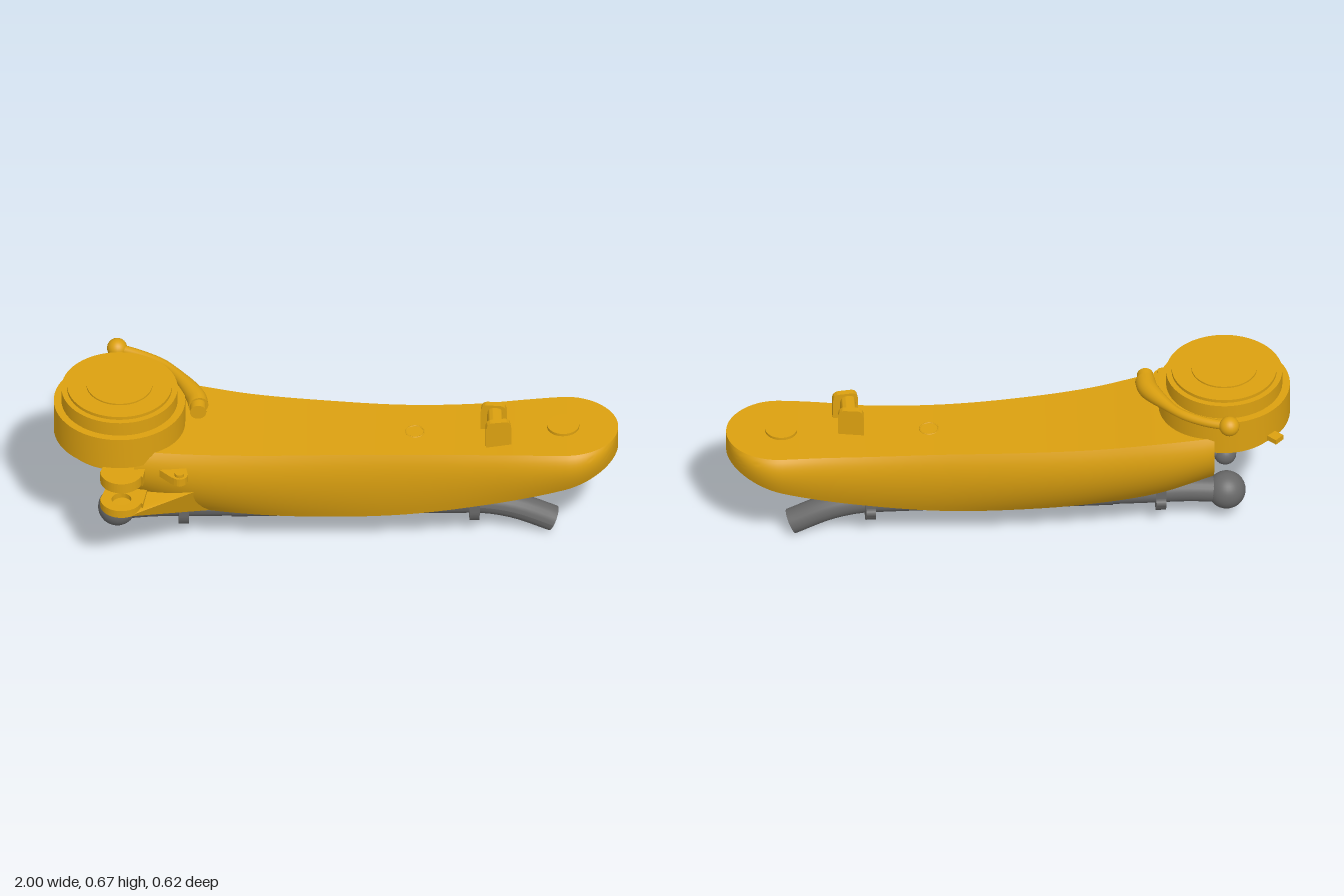
import * as THREE from 'three';
import { toCreasedNormals } from 'three/addons/utils/BufferGeometryUtils.js';
import { ConvexGeometry } from 'three/addons/geometries/ConvexGeometry.js';

const gold = new THREE.MeshStandardMaterial({ color: 0xdba010 });
const grey = new THREE.MeshStandardMaterial({ color: 0x686868 });
const V = (x, y, z) => new THREE.Vector3(x, y, z);

export function createModel() {
  const model = new THREE.Group();
  const add = (name, geo, mat = gold, x = 0, y = 0, z = 0) => {
    const m = new THREE.Mesh(geo, mat);
    m.name = name;
    m.position.set(x, y, z);
    model.add(m);
    return m;
  };
  // Tube along points with a radius that varies from 0 to 1 along its length, closed at both ends
  const taperTube = (name, pts, radius, mat) => {
    const path = new THREE.CatmullRomCurve3(pts), seg = 40, rad = 20;
    const geo = new THREE.TubeGeometry(path, seg, 1, rad);
    const p = geo.attributes.position, v = V(0, 0, 0);
    for (let i = 0; i <= seg; i++) {
      const c = path.getPointAt(i / seg), r = radius(i / seg);
      for (let j = 0; j <= rad; j++) {
        const k = i * (rad + 1) + j;
        v.fromBufferAttribute(p, k).sub(c).multiplyScalar(r).add(c);
        p.setXYZ(k, v.x, v.y, v.z);
      }
    }
    geo.computeVertexNormals();
    add(name, geo, mat);
    for (const t of [0, 1]) {
      const cap = add(name + 'End', new THREE.CircleGeometry(radius(t), rad), mat);
      const c = path.getPointAt(t);
      cap.position.copy(c);
      cap.lookAt(c.clone().addScaledVector(path.getTangentAt(t), t ? 1 : -1));
    }
  };
  // Flat outline in x and z, raised from y0 to y1
  const plate = (name, shape, y0, y1) => {
    const geo = new THREE.ExtrudeGeometry(shape, { depth: y1 - y0, bevelEnabled: false, curveSegments: 20 });
    geo.rotateX(Math.PI / 2);
    add(name, toCreasedNormals(geo, 0.6), gold, 0, y1, 0);
  };

  // Arm body: lofted sections with a flat top, bulging sides and a flat curved belly
  // Each key: x, top y, bottom y, front half width, back half width, belly half width
  const keys = [
    [-0.72, 0.525, 0.275, 0.225, 0.245, 0.11], [-0.55, 0.505, 0.212, 0.22, 0.24, 0.115],
    [-0.3, 0.47, 0.173, 0.185, 0.215, 0.12], [0, 0.45, 0.157, 0.158, 0.19, 0.12],
    [0.25, 0.442, 0.168, 0.15, 0.172, 0.125], [0.5, 0.443, 0.212, 0.16, 0.172, 0.14],
    [0.68, 0.452, 0.262, 0.18, 0.182, 0.16], [0.81, 0.456, 0.305, 0.19, 0.19, 0.172],
    [1, 0.455, 0.378, 0.19, 0.19, 0.178]];
  const lerp = new THREE.CubicInterpolant(keys.map(k => k[0]), keys.flatMap(k => k.slice(1)), 5);
  const xs = [];
  for (let i = 0; i <= 44; i++) xs.push(-0.72 + 1.53 * i / 44);
  for (let i = 1; i <= 16; i++) xs.push(0.81 + 0.19 * Math.sin(i / 16 * Math.PI / 2));
  const S = 12, N = 2 * (S + 1), pos = [], idx = [];
  for (const x of xs) {
    const [top, bot, wf, wb, belly] = lerp.evaluate(x);
    const e = x > 0.81 ? Math.sqrt(Math.max(0.0001, 1 - ((x - 0.81) / 0.19) ** 2)) : 1;
    const h = top - bot;
    const side = w => new THREE.CubicBezierCurve(
      new THREE.Vector2(0.9 * w, top), new THREE.Vector2(1.09 * w, top - 0.25 * h),
      new THREE.Vector2(1.02 * w, top - 0.65 * h), new THREE.Vector2(belly, bot)).getPoints(S);
    side(wf).forEach(p => pos.push(x, p.y, p.x * e));
    side(wb).reverse().forEach(p => pos.push(x, p.y, -p.x * e));
  }
  for (let i = 0; i < xs.length - 1; i++) for (let j = 0; j < N; j++) {
    const a = i * N + j, b = i * N + (j + 1) % N;
    idx.push(a, b, a + N, b, b + N, a + N);
  }
  for (let j = 1; j < N - 1; j++) idx.push(0, j + 1, j);
  const body = new THREE.BufferGeometry();
  body.setAttribute('position', new THREE.Float32BufferAttribute(pos, 3));
  body.setIndex(idx);
  add('armBody', toCreasedNormals(body, 0.6));

  // Round clamp head with stepped cap
  const profile = [[0, 0.44], [0.2, 0.44], [0.2, 0.475], [0.233, 0.475], [0.233, 0.6], [0.206, 0.6],
    [0.206, 0.655], [0.186, 0.655], [0.186, 0.667], [0.117, 0.667], [0.117, 0.673], [0, 0.673]];
  add('clampHead', toCreasedNormals(new THREE.LatheGeometry(
    profile.map(p => new THREE.Vector2(...p)), 64), 0.6), gold, -0.767, 0, 0.002);
  const tab = add('headTab', new THREE.BoxGeometry(0.09, 0.02, 0.04), gold, -0.92, 0.49, -0.165);
  tab.rotation.y = -0.75;

  // Locking lever swept around the head
  taperTube('lockLever', [V(-0.488, 0.595, 0.035), V(-0.495, 0.597, -0.01), V(-0.535, 0.605, -0.09),
    V(-0.6, 0.612, -0.18), V(-0.68, 0.615, -0.235), V(-0.765, 0.62, -0.272)],
    t => 0.036 - 0.019 * THREE.MathUtils.smoothstep(t, 0.05, 0.55), gold);
  add('leverKnob', new THREE.SphereGeometry(0.036, 24, 16), gold, -0.77, 0.62, -0.274);
  const pivot = new THREE.CylinderGeometry(0.029, 0.029, 0.06, 24).rotateX(Math.PI / 2);
  add('leverPivot', pivot, gold, -0.49, 0.595, 0.042);

  // Pair of clamp lugs on the front, the lower one bored and carried by a gusset
  const lug = hole => {
    const s = new THREE.Shape();
    s.moveTo(-0.66, 0.12);
    s.lineTo(-0.69, 0.27);
    s.absarc(-0.765, 0.235, 0.075, 0.4, Math.PI, false);
    s.lineTo(-0.8, 0.12);
    if (hole) s.holes.push(new THREE.Path().absarc(-0.765, 0.24, 0.035, 0, Math.PI * 2, true));
    return s;
  };
  plate('upperLug', lug(false), 0.42, 0.46);
  plate('lowerLug', lug(true), 0.31, 0.34);
  const hull = [V(-0.72, 0.33, 0.05), V(-0.72, 0.275, 0.05), V(-0.45, 0.19, 0.115), V(-0.5, 0.34, 0.2),
    V(-0.58, 0.21, 0.115)];
  for (let i = 0; i <= 10; i++) {
    const a = i / 10 * Math.PI;
    hull.push(V(-0.765 + 0.075 * Math.cos(a), 0.312, 0.235 + 0.073 * Math.sin(a)));
  }
  add('lugGusset', toCreasedNormals(new ConvexGeometry(hull), 0.5));

  // Small catch beside the lugs
  const latch = new THREE.Shape();
  latch.moveTo(-0.66, 0.19);
  latch.lineTo(-0.59, 0.265);
  latch.absarc(-0.56, 0.25, 0.03, 2.4, 0, true);
  latch.lineTo(-0.54, 0.18);
  plate('catch', latch, 0.425, 0.455);
  add('catchBoss', new THREE.CylinderGeometry(0.017, 0.017, 0.05, 16), gold, -0.56, 0.442, 0.255);

  // Upright cable hook: two rounded plates joined by a narrow web
  const fin = (w, h) => {
    const s = new THREE.Shape();
    s.moveTo(-w, 0);
    s.lineTo(w, 0);
    s.lineTo(w, h - 0.03);
    s.quadraticCurveTo(w, h, w - 0.025, h);
    s.lineTo(-w + 0.025, h);
    s.quadraticCurveTo(-w, h, -w, h - 0.03);
    return s;
  };
  const finGeo = (w, h, d) => toCreasedNormals(new THREE.ExtrudeGeometry(fin(w, h),
    { depth: d, bevelEnabled: false }), 0.6);
  const front = add('hookPlateFront', finGeo(0.045, 0.11, 0.022), gold, 0.572, 0.44, 0.075);
  front.rotation.y = 0.12;
  const back = add('hookPlateBack', finGeo(0.045, 0.11, 0.022), gold, 0.56, 0.44, -0.025);
  back.rotation.y = -0.1;
  add('hookWeb', finGeo(0.028, 0.1, 0.1), gold, 0.564, 0.44, -0.015);

  // Pivot cap at the tip and rim of the cable port
  add('tipCap', new THREE.CylinderGeometry(0.057, 0.057, 0.02, 40), gold, 0.805, 0.456, 0);
  add('cablePortRim', new THREE.TorusGeometry(0.033, 0.003, 8, 32).rotateX(Math.PI / 2), gold, 0.28, 0.441, 0);

  // Inner cable sleeve leaving the body at both ends
  taperTube('innerCable', [V(0.58, 0.34, 0), V(0.68, 0.3, 0), V(0.785, 0.25, 0)], () => 0.034, grey);
  taperTube('innerCableStub', [V(-0.66, 0.31, 0), V(-0.71, 0.3, 0), V(-0.77, 0.29, 0)], () => 0.022, grey);
  add('innerCableBall', new THREE.SphereGeometry(0.04, 24, 16), grey, -0.77, 0.285, 0);

  // Lower cable conduit with ball end and drooping tail
  taperTube('conduit', [V(-0.76, 0.125, 0), V(-0.64, 0.134, 0), V(-0.5, 0.133, 0), V(0, 0.133, 0),
    V(0.42, 0.133, 0), V(0.53, 0.13, 0), V(0.64, 0.105, 0), V(0.77, 0.047, 0)], () => 0.046, grey);
  add('conduitBall', new THREE.SphereGeometry(0.068, 32, 20), grey, -0.775, 0.123, 0);
  add('conduitSleeve', new THREE.CylinderGeometry(0.049, 0.049, 0.16, 28).rotateZ(Math.PI / 2), grey, -0.29, 0.133, 0);

  // Saddle brackets holding the conduit
  const saddle = new THREE.Shape();
  saddle.moveTo(0.07, 0.072);
  saddle.lineTo(-0.07, 0.072);
  saddle.lineTo(-0.07, 0);
  saddle.absarc(0, 0, 0.07, Math.PI, Math.PI * 2, false);
  for (const x of [-0.54, 0.49]) {
    const geo = new THREE.ExtrudeGeometry(saddle, { depth: 0.036, bevelEnabled: false, curveSegments: 24 });
    geo.translate(0, 0, -0.018).rotateY(Math.PI / 2);
    add('saddleBracket', toCreasedNormals(geo, 0.6), grey, x, 0.13, 0);
    add('bracketScrew', new THREE.CylinderGeometry(0.014, 0.014, 0.034, 16).rotateZ(Math.PI / 2), grey, x, 0.13, -0.073);
  }
  return model;
}
